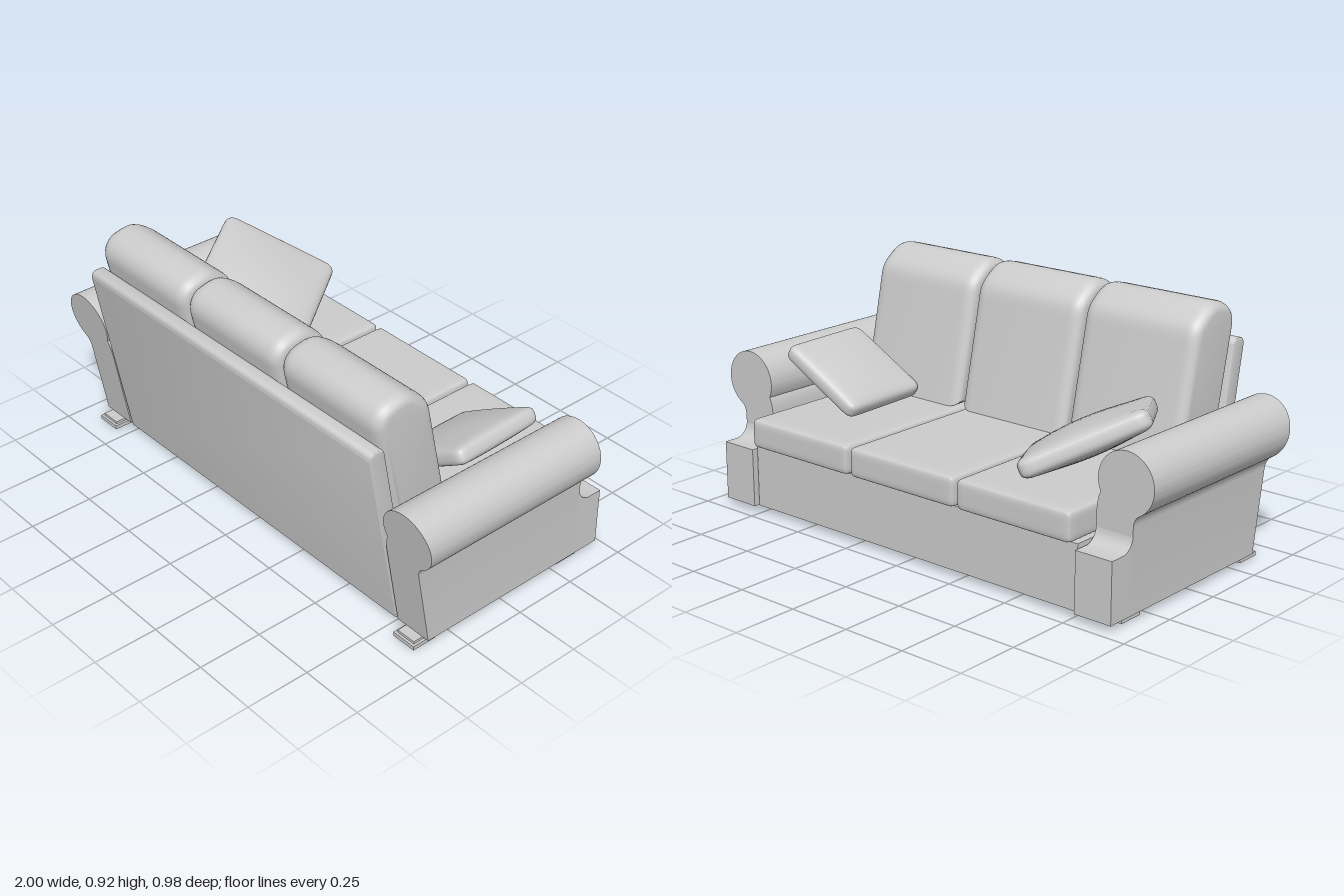
import * as THREE from 'three';
import { mergeVertices, toCreasedNormals } from 'three/addons/utils/BufferGeometryUtils.js';

const material = new THREE.MeshStandardMaterial({ color: 0xcccccc });

function addMesh(parent, name, geometry) {
  const mesh = new THREE.Mesh(geometry, material);
  mesh.name = name;
  parent.add(mesh);
  return mesh;
}

// Box with rounded edges; "puff" thins the rim (0 = plain, 1 = knife edge)
function softBox(w, h, d, r, puff = 0) {
  let g = new THREE.BoxGeometry(2, 2, 2, 18, 10, 18);
  g.deleteAttribute('normal');
  g.deleteAttribute('uv');
  g = mergeVertices(g);
  const p = g.attributes.position;
  const half = new THREE.Vector3(w, h, d).multiplyScalar(0.5);
  const inner = half.clone().subScalar(r);
  const v = new THREE.Vector3(), c = new THREE.Vector3();
  const ease = (t) => Math.sin((t * Math.PI) / 2);
  for (let i = 0; i < p.count; i++) {
    v.fromBufferAttribute(p, i);
    v.set(ease(v.x), ease(v.y), ease(v.z)).multiply(half);
    c.copy(v).clamp(inner.clone().negate(), inner);
    v.sub(c);
    if (v.lengthSq() > 0) v.setLength(r);
    v.add(c);
    const a = v.x / half.x, b = v.z / half.z;
    v.y *= 1 - puff * (1 - (1 - a * a) * (1 - b * b));
    p.setXYZ(i, v.x, v.y, v.z);
  }
  g.computeVertexNormals();
  return g;
}

// Side profile drawn in (z, y), extruded across x and centred on x = 0
function acrossX(shape, width, bevel = 0, bevelX = bevel) {
  const g = new THREE.ExtrudeGeometry(shape, {
    depth: width - 2 * bevelX, curveSegments: 8, bevelEnabled: bevel > 0,
    bevelSize: bevel, bevelOffset: -bevel, bevelThickness: bevelX, bevelSegments: 5,
  });
  g.translate(0, 0, -(width - 2 * bevelX) / 2);
  g.rotateY(-Math.PI / 2);
  return toCreasedNormals(g, 0.7);
}

const polygon = (pts) => new THREE.Shape(pts.map(([a, b]) => new THREE.Vector2(a, b)));

// Scroll arm section in (x, y), with the back end sheared to follow the backrest
function armGeometry() {
  const s = new THREE.Shape();
  s.moveTo(0.77, 0.025);
  s.lineTo(0.92, 0.025);
  s.lineTo(0.92, 0.33);
  s.quadraticCurveTo(0.92, 0.365, 0.947, 0.379);
  s.absarc(0.887, 0.475, 0.113, -1.01, Math.PI + 0.45, false);
  s.quadraticCurveTo(0.77, 0.4, 0.77, 0.34);
  s.closePath();
  const g = new THREE.ExtrudeGeometry(s, { depth: 1, bevelEnabled: false, curveSegments: 32 });
  const p = g.attributes.position;
  for (let i = 0; i < p.count; i++) {
    const back = 0.36 + 0.177 * (p.getY(i) - 0.025);
    p.setZ(i, p.getZ(i) > 0.5 ? back : -0.355);
  }
  return toCreasedNormals(g, 0.6);
}

// Plinth in front of the arm with a hollow curve up to the neck
function armFootGeometry() {
  const s = new THREE.Shape();
  s.moveTo(-0.355, 0.025);
  s.lineTo(-0.355, 0.3);
  s.quadraticCurveTo(-0.36, 0.262, -0.4, 0.25);
  s.lineTo(-0.465, 0.25);
  s.lineTo(-0.465, 0.025);
  s.closePath();
  return acrossX(s, 0.15);
}

export function createModel() {
  const sofa = new THREE.Group();
  sofa.name = 'sofa';

  // Base and slanted back panel
  addMesh(sofa, 'base', acrossX(polygon([
    [-0.445, 0.025], [0.33, 0.025], [0.37, 0.265], [-0.445, 0.265]]), 1.53));
  const back = new THREE.Shape();
  back.moveTo(0.295, 0.025);
  back.lineTo(0.36, 0.025);
  back.lineTo(0.493, 0.735);
  back.quadraticCurveTo(0.497, 0.768, 0.468, 0.768);
  back.lineTo(0.452, 0.768);
  back.quadraticCurveTo(0.433, 0.768, 0.428, 0.745);
  back.closePath();
  addMesh(sofa, 'backPanel', acrossX(back, 1.525, 0.006));

  // Three seat cushions and three back cushions
  const cushion = new THREE.Shape();
  cushion.moveTo(0.116, 0.38);
  cushion.lineTo(0.203, 0.79);
  cushion.bezierCurveTo(0.213, 0.845, 0.225, 0.86, 0.27, 0.893);
  cushion.bezierCurveTo(0.315, 0.925, 0.335, 0.925, 0.39, 0.91);
  cushion.bezierCurveTo(0.43, 0.9, 0.46, 0.86, 0.448, 0.81);
  cushion.lineTo(0.352, 0.38);
  cushion.closePath();
  const backGeometry = acrossX(cushion, 0.495, 0.035, 0.05);
  const seatGeometry = softBox(0.495, 0.112, 0.8, 0.02);
  for (const i of [-1, 0, 1]) {
    addMesh(sofa, 'seatCushion', seatGeometry).position.set(i * 0.508, 0.323, -0.078);
    addMesh(sofa, 'backCushion', backGeometry).position.set(i * 0.508, 0, 0);
  }

  // Arms with plinths and feet, mirrored in placement
  const arm = armGeometry();
  const plinth = armFootGeometry();
  const foot = new THREE.BoxGeometry(0.1, 0.016, 0.1);
  const pad = new THREE.BoxGeometry(0.08, 0.012, 0.08);
  for (const side of [1, -1]) {
    const group = new THREE.Group();
    group.name = side > 0 ? 'leftArm' : 'rightArm';
    const armMesh = addMesh(group, 'scrollArm', arm);
    if (side < 0) {
      // Mirror the section about the arm's own vertical plane
      const g = arm.clone().scale(-1, 1, 1);
      for (const attr of [g.attributes.position, g.attributes.normal]) {
        const a = attr.array;
        for (let t = 0; t < a.length; t += 9) {
          for (let k = 0; k < 3; k++) [a[t + 3 + k], a[t + 6 + k]] = [a[t + 6 + k], a[t + 3 + k]];
        }
      }
      armMesh.geometry = g;
    }
    addMesh(group, 'armPlinth', plinth).position.x = side * 0.845;
    for (const z of [0.36, -0.332]) {
      addMesh(group, 'foot', foot).position.set(side * 0.852, 0.008, z);
      addMesh(group, 'footBlock', pad).position.set(side * 0.852, 0.02, z);
    }
    sofa.add(group);
  }

  // Loose pillow tilted against the left arm
  const small = addMesh(sofa, 'leftPillow', softBox(0.38, 0.1, 0.39, 0.035, 0.35));
  small.position.set(0.62, 0.5, -0.073);
  small.rotation.set(0, 0.04, 0.52);

  // Larger pillow turned cornerwise over the right arm
  const u = new THREE.Vector3(0.33, -0.19, -0.26).normalize();
  const w = new THREE.Vector3(0.25, -0.09, 0.37);
  w.addScaledVector(u, -w.dot(u)).normalize();
  const n = new THREE.Vector3().crossVectors(w, u);
  const large = addMesh(sofa, 'rightPillow', softBox(0.47, 0.13, 0.47, 0.04, 0.45));
  large.quaternion.setFromRotationMatrix(new THREE.Matrix4().makeBasis(u, n, w));
  large.position.set(-0.6, 0.53, -0.18);

  return sofa;
}
